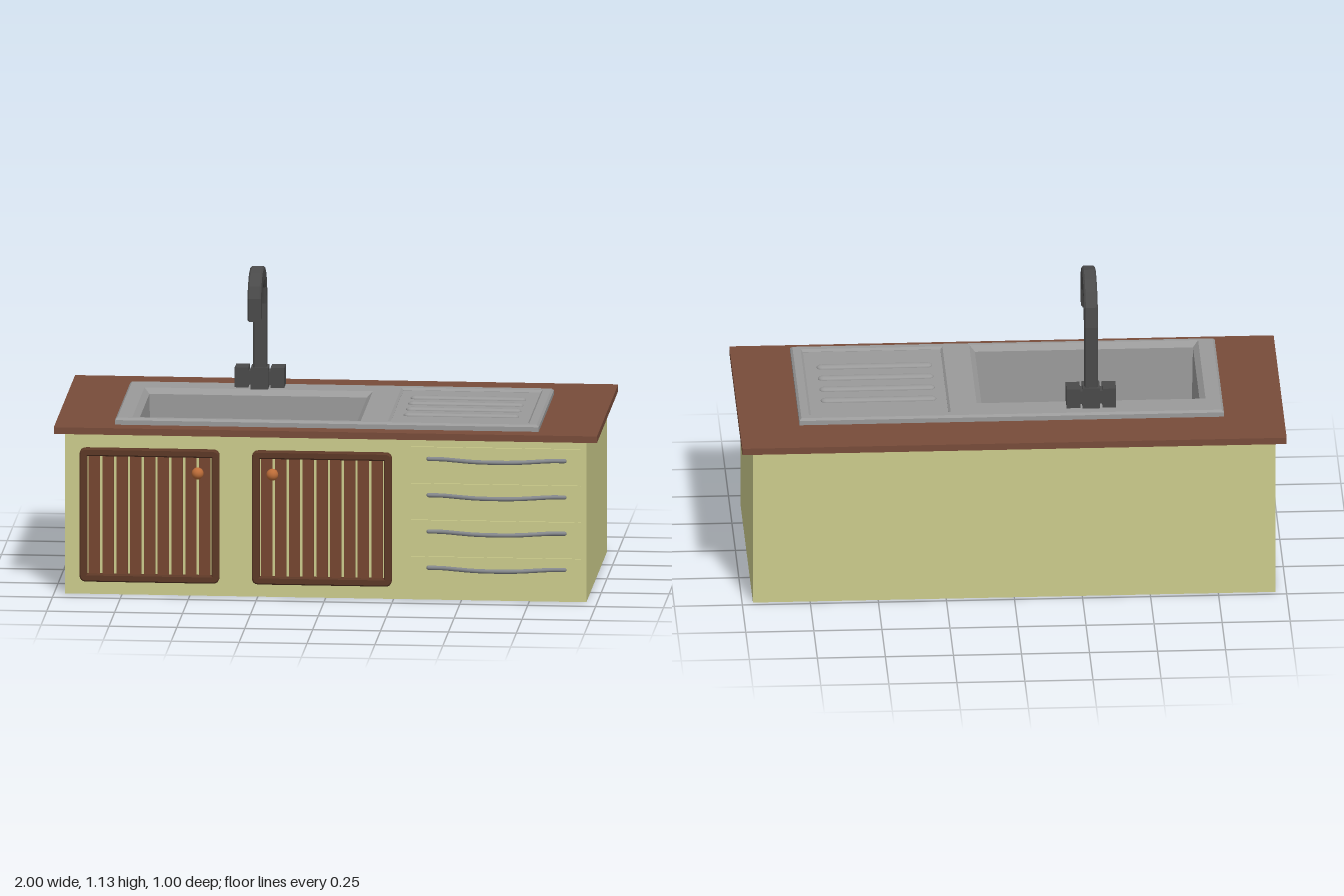
import * as THREE from 'three';

const mat = (color) => new THREE.MeshStandardMaterial({ color });
const cream = mat(0xcccc8c), wood = mat(0x784c3a), darkWood = mat(0x5c3826), slatWood = mat(0x764630);
const steel = mat(0x9a9a9a), black = mat(0x4a4a4a), copper = mat(0xbc6c38), handleGrey = mat(0x85888c);

export function createModel() {
  const model = new THREE.Group();

  const add = (name, geometry, material, parent = model) => {
    const mesh = new THREE.Mesh(geometry, material);
    mesh.name = name;
    parent.add(mesh);
    return mesh;
  };
  // Box given by its two extreme corners
  const box = (name, [x0, y0, z0], [x1, y1, z1], material, parent) => {
    const g = new THREE.BoxGeometry(x1 - x0, y1 - y0, z1 - z0);
    g.translate((x0 + x1) / 2, (y0 + y1) / 2, (z0 + z1) / 2);
    return add(name, g, material, parent);
  };
  // Rectangle outline, optionally with rounded corners
  const rect = (T, x0, y0, x1, y1, r = 0) => {
    const s = new T();
    if (!r) return s.moveTo(x0, y0).lineTo(x1, y0).lineTo(x1, y1).lineTo(x0, y1).lineTo(x0, y0);
    s.moveTo(x0 + r, y0).lineTo(x1 - r, y0).quadraticCurveTo(x1, y0, x1, y0 + r);
    s.lineTo(x1, y1 - r).quadraticCurveTo(x1, y1, x1 - r, y1);
    s.lineTo(x0 + r, y1).quadraticCurveTo(x0, y1, x0, y1 - r);
    return s.lineTo(x0, y0 + r).quadraticCurveTo(x0, y0, x0 + r, y0);
  };
  // Horizontal slab with rectangular openings; rectangles are [x0, z0, x1, z1]
  const slab = (name, outer, holes, y0, y1, material, bevel = 0) => {
    const flat = (T, [x0, z0, x1, z1]) => rect(T, x0, -z1, x1, -z0);
    const s = flat(THREE.Shape, outer);
    s.holes = holes.map((h) => flat(THREE.Path, h));
    const g = new THREE.ExtrudeGeometry(s, {
      depth: y1 - y0 - 2 * bevel, bevelEnabled: bevel > 0, bevelSize: bevel,
      bevelThickness: bevel, bevelOffset: -bevel, bevelSegments: 1,
    });
    g.rotateX(-Math.PI / 2).translate(0, y0 + bevel, 0);
    return add(name, g, material);
  };

  // Cabinet carcass and worktop
  const body = [-0.96, -0.48, 0.96, 0.425];
  slab('cabinetWalls', body, [[-0.94, -0.46, 0.94, 0.405]], 0.02, 0.6, cream);
  slab('cabinetFloor', body, [], 0, 0.02, cream);
  slab('worktop', [-1, -0.5, 1, 0.44], [[-0.75, -0.27, 0.75, 0.355]], 0.6, 0.625, wood);

  // Sink top plate with basin and drainer openings
  const basin = [-0.71, -0.175, 0.115, 0.345];
  const drainer = [0.23, -0.25, 0.735, 0.335];
  slab('sinkPlate', [-0.78, -0.295, 0.78, 0.375], [basin, drainer], 0.612, 0.65, steel, 0.008);

  // Basin: rectangular rings [inset, height] stepping down to the floor
  const rings = [[0, 0.642], [0.012, 0.63], [0.016, 0.42], [0.024, 0.385], [0.04, 0.36], [0.06, 0.35]];
  const corners = ([d, y]) => [
    [basin[0] + d, y, basin[1] + d], [basin[2] - d, y, basin[1] + d],
    [basin[2] - d, y, basin[3] - d], [basin[0] + d, y, basin[3] - d],
  ];
  const pos = [];
  const quad = (a, b, c, d) => pos.push(...a, ...b, ...c, ...a, ...c, ...d);
  for (let i = 0; i < rings.length - 1; i++) {
    const top = corners(rings[i]), low = corners(rings[i + 1]);
    for (let k = 0; k < 4; k++) quad(top[k], low[k], low[(k + 1) % 4], top[(k + 1) % 4]);
  }
  const f = corners(rings[rings.length - 1]);
  quad(f[0], f[3], f[2], f[1]);
  const basinGeo = new THREE.BufferGeometry();
  basinGeo.setAttribute('position', new THREE.Float32BufferAttribute(pos, 3));
  basinGeo.computeVertexNormals();
  const basinMat = mat(0x9a9a9a);
  basinMat.side = THREE.DoubleSide;
  add('basin', basinGeo, basinMat);

  // Drainer tray with raised ribs
  box('drainerTray', [0.225, 0.62, -0.255], [0.74, 0.641, 0.34], steel);
  for (let i = 0; i < 4; i++) {
    const rib = new THREE.CapsuleGeometry(0.02, 0.385, 4, 12);
    rib.rotateZ(Math.PI / 2).scale(1, 0.5, 1).translate(0.48, 0.641, -0.113 + i * 0.102);
    add('drainerRib', rib, steel);
  }

  // Tap: spout profile (z, y) extruded across its width
  const tap = new THREE.Group();
  tap.name = 'tap';
  tap.position.x = -0.295;
  model.add(tap);
  const spout = [
    [-0.245, 0.7], [-0.247, 0.97], [-0.234, 1.045], [-0.198, 1.09], [-0.147, 1.12], [-0.084, 1.132],
    [-0.018, 1.12], [0.03, 1.08], [0.048, 1.036], [0.048, 0.95], [-0.012, 0.95], [-0.012, 1.02],
    [-0.027, 1.05], [-0.08, 1.073], [-0.141, 1.066], [-0.174, 1.033], [-0.189, 0.97], [-0.187, 0.7],
  ].map(([z, y]) => new THREE.Vector2(-z, y));
  const spoutGeo = new THREE.ExtrudeGeometry(new THREE.Shape(spout), {
    depth: 0.038, bevelSize: 0.006, bevelThickness: 0.006, bevelOffset: -0.006, bevelSegments: 1,
  });
  spoutGeo.translate(0, 0, -0.019).rotateY(Math.PI / 2);
  add('spout', spoutGeo, black, tap);
  box('tapBase', [-0.032, 0.648, -0.252], [0.032, 0.73, -0.182], black, tap);
  box('tapCrossbar', [-0.06, 0.665, -0.245], [0.06, 0.715, -0.195], black, tap);
  for (const s of [-1, 1]) {
    const knob = box('tapKnob', [-0.025, 0.655, -0.258], [0.025, 0.73, -0.188], black, tap);
    knob.position.x = s * 0.066;
  }

  // Slatted doors with a rounded frame and a ball knob
  const door = (x0, knobX) => {
    const g = new THREE.Group();
    g.name = 'door';
    model.add(g);
    const w = 0.515, b = 0.029, inner = w - 2 * b;
    const frame = rect(THREE.Shape, x0, 0.05, x0 + w, 0.55, 0.025);
    frame.holes.push(rect(THREE.Path, x0 + b, 0.05 + b, x0 + w - b, 0.55 - b));
    const frameGeo = new THREE.ExtrudeGeometry(frame, {
      depth: 0.018, curveSegments: 4, bevelSize: 0.005, bevelThickness: 0.005, bevelOffset: -0.005, bevelSegments: 1,
    });
    add('doorFrame', frameGeo.translate(0, 0, 0.429), darkWood, g);
    const pitch = inner / 9;
    for (let i = 0; i < 9; i++) {
      const x = x0 + b + i * pitch;
      box('doorSlat', [x + 0.005, 0.072, 0.42], [x + pitch - 0.005, 0.528, 0.442], slatWood, g);
    }
    add('doorKnob', new THREE.SphereGeometry(0.022, 20, 14).translate(knobX, 0.467, 0.468), copper, g);
  };
  door(-0.905, -0.468);
  door(-0.27, -0.193);

  // Drawers with bowed bar handles
  const bow = new THREE.CatmullRomCurve3(
    [[-0.25, 0.438], [-0.2, 0.441], [-0.15, 0.458], [-0.08, 0.481], [0, 0.488],
      [0.08, 0.481], [0.15, 0.458], [0.2, 0.441], [0.25, 0.438]]
      .map(([x, z]) => new THREE.Vector3(x, 0, z)));
  for (let i = 0; i < 4; i++) {
    const top = 0.573 - i * 0.137;
    box('drawerFront', [0.315, top - 0.128, 0.42], [0.94, top, 0.433], cream);
    const bar = new THREE.TubeGeometry(bow, 40, 0.008, 8);
    add('drawerHandle', bar.translate(0.63, 0.53 - i * 0.136, 0), handleGrey);
    for (const s of [-1, 1]) {
      const end = new THREE.SphereGeometry(0.008, 8, 6);
      add('handleEnd', end.translate(0.63 + s * 0.25, 0.53 - i * 0.136, 0.438), handleGrey);
    }
  }
  return model;
}
